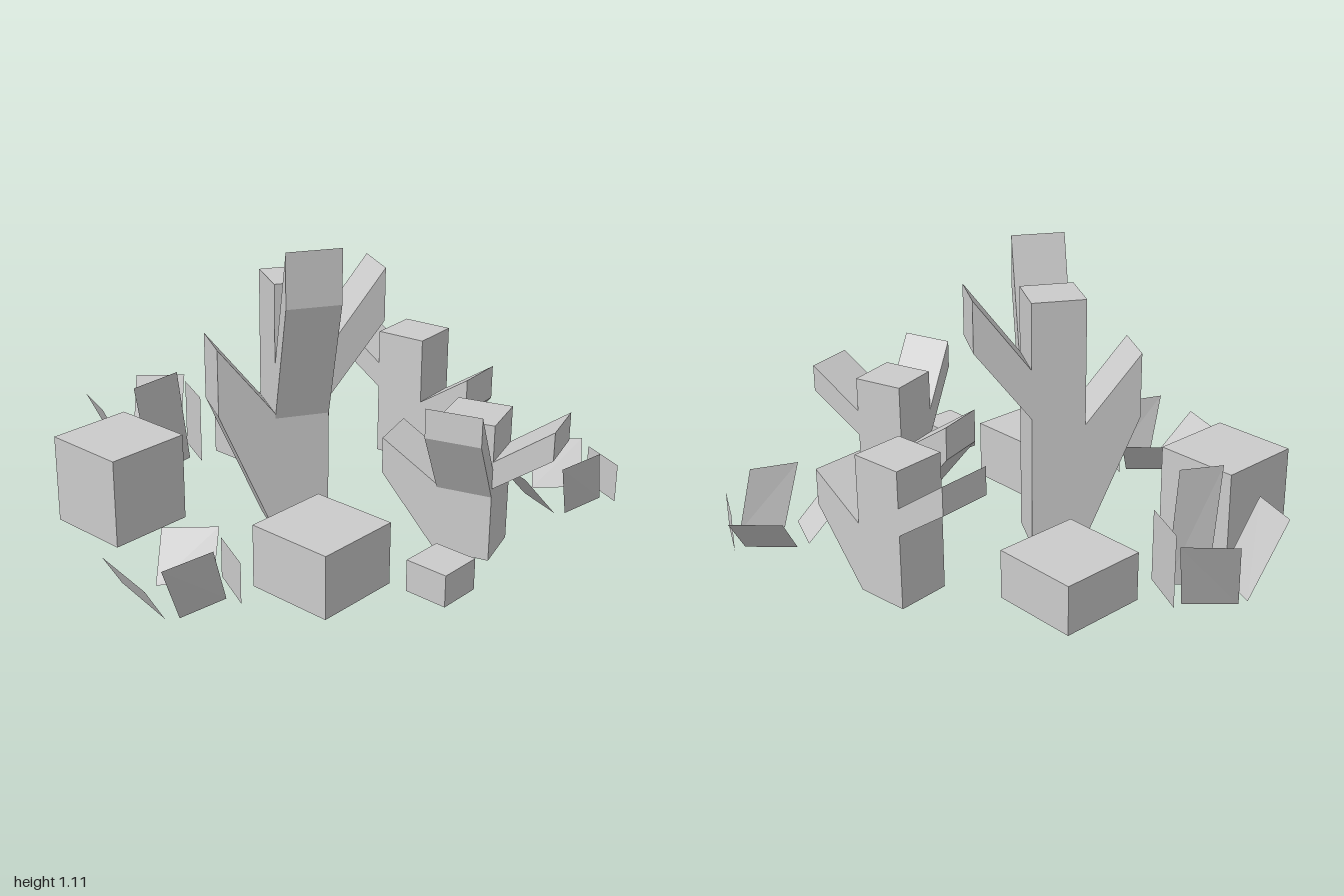
import * as THREE from 'three';

const material = new THREE.MeshStandardMaterial({ color: 0xcccccc, flatShading: true });
const leafMaterial = new THREE.MeshStandardMaterial({ color: 0xcccccc, flatShading: true, side: THREE.DoubleSide });

const T = 0.1; // half thickness of coral limbs

function box(name, w, h, d, x, y, z) {
  const mesh = new THREE.Mesh(new THREE.BoxGeometry(w, h, d), material);
  mesh.name = name;
  mesh.position.set(x, y, z);
  return mesh;
}

// Limb that leaves the trunk side between heights in0..in1 and ends in an upright face out0..out1
function limb(name, reach, [in0, in1], [out0, out1], yaw) {
  const shape = new THREE.Shape([
    new THREE.Vector2(T, in0),
    new THREE.Vector2(reach, out0),
    new THREE.Vector2(reach, out1),
    new THREE.Vector2(T, in1),
  ]);
  const geometry = new THREE.ExtrudeGeometry(shape, { depth: 2 * T, bevelEnabled: false });
  geometry.translate(0, 0, -T);
  const mesh = new THREE.Mesh(geometry, material);
  mesh.name = name;
  mesh.rotation.y = yaw;
  return mesh;
}

function coral(name, x, y, z, yawDegrees, height, hasSideLimb) {
  const group = new THREE.Group();
  group.name = name;
  group.add(box('trunk', 2 * T, 0.96, 2 * T, 0, 0.48, 0));
  group.add(limb('upperLimb', 0.307, [0.52, 0.71], [0.79, 0.985], 0));
  group.add(limb('lowerLimb', 0.307, [0, 0.48], [0.49, 0.74], Math.PI));
  if (hasSideLimb) group.add(limb('sideLimb', 0.24, [0.46, 0.66], [0.91, 1.11], -Math.PI / 2));
  group.position.set(x, y, z);
  group.rotation.y = THREE.MathUtils.degToRad(yawDegrees);
  group.scale.y = height;
  return group;
}

// Flat leaf through four corners in order
function leaf(name, corners) {
  const geometry = new THREE.BufferGeometry();
  geometry.setAttribute('position', new THREE.Float32BufferAttribute(corners.flat(), 3));
  geometry.setIndex([0, 1, 2, 0, 2, 3]);
  geometry.computeVertexNormals();
  const mesh = new THREE.Mesh(geometry, leafMaterial);
  mesh.name = name;
  return mesh;
}

// Four leaning leaves around a bare middle
function tuft(name, x, z, height) {
  const group = new THREE.Group();
  group.name = name;
  group.add(
    leaf('frontLeaf', [[-0.11, 0.02, 0.05], [0.07, 0.02, 0.12], [0.01, 0.18, 0.24], [-0.17, 0.18, 0.175]]),
    leaf('sideLeaf', [[0.135, 0.03, -0.095], [0.168, 0.25, -0.01], [0.125, 0.235, 0.175], [0.085, 0.007, 0.07]]),
    leaf('uprightLeaf', [[0.015, 0.03, -0.19], [0.195, 0.03, -0.105], [0.195, 0.18, -0.105], [0.015, 0.18, -0.19]]),
    leaf('backLeaf', [[-0.11, 0.025, 0], [0.025, 0.025, -0.14], [-0.045, 0.18, -0.24], [-0.185, 0.18, -0.1]]),
  );
  group.position.set(x, 0, z);
  group.scale.y = height;
  return group;
}

export function createModel() {
  const model = new THREE.Group();
  model.name = 'coralReef';

  // Corals
  model.add(
    coral('tallCoral', -0.01, 0.005, 0.035, 59.7, 0.997, true),
    coral('shortCoral', 0.615, 0.025, -0.222, 17.2, 0.533, true),
    coral('backCoral', -0.029, 0.06, -0.69, 186, 0.533, false),
  );

  // Rocks
  model.add(
    box('tallRock', 0.33, 0.335, 0.33, -0.455, 0.193, 0.498),
    box('backRock', 0.33, 0.185, 0.33, -0.455, 0.138, -0.307),
    box('frontRock', 0.33, 0.233, 0.33, 0.395, 0.117, 0.333),
    box('smallRock', 0.16, 0.115, 0.16, 0.778, 0.118, 0.173),
  );

  // Leaf tufts
  model.add(
    tuft('frontTuft', 0.125, 0.75, 1),
    tuft('leftTuft', -0.765, 0.088, 1.83),
    tuft('backTuft', 0.63, -0.762, 1),
  );
  return model;
}
